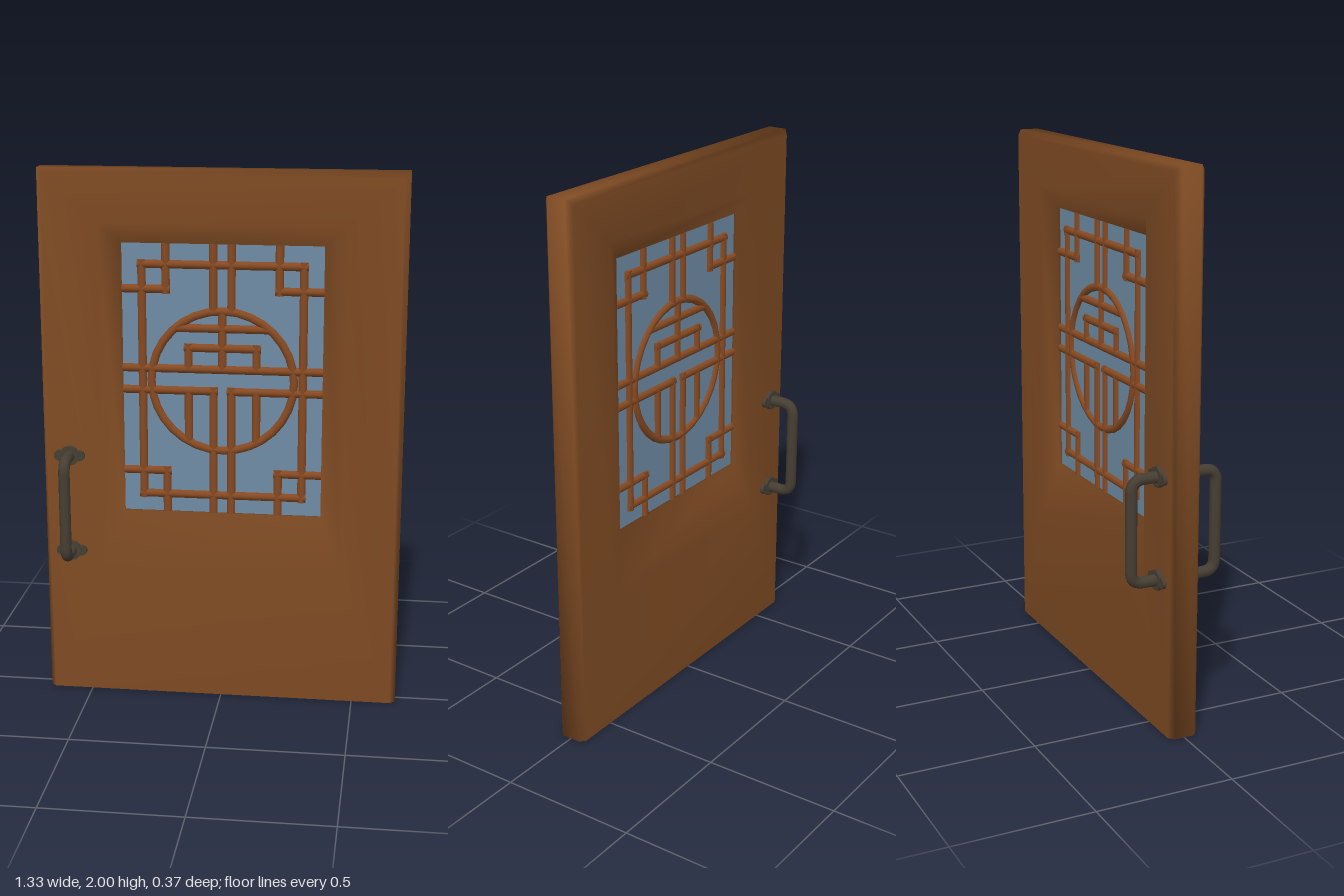
import * as THREE from 'three';

const mat = (name, color) => Object.assign(new THREE.MeshStandardMaterial({ color }), { name });

export function createModel() {
  const wood = mat('door wood', 0x7f4b23);
  const latticeWood = mat('lattice wood', 0x874a22);
  const glassBlue = mat('glass', 0x6f8ca5);
  const iron = mat('dark iron', 0x463e33);

  const door = new THREE.Group();
  door.name = 'door';
  const add = (parent, name, geometry, material, x = 0, y = 0, z = 0) => {
    const mesh = new THREE.Mesh(geometry, material);
    mesh.name = name;
    mesh.position.set(x, y, z);
    parent.add(mesh);
    return mesh;
  };

  // Door slab: rectangular rings from the window edge, over the rim, to the back
  const half = [
    [0.368, 0.72, 1.733, 0.012],
    [0.45, 0.5, 1.81, 0.055],
    [0.645, 0, 1.98, 0.055],
    [0.665, 0, 2, 0.036],
  ];
  const rings = [...half, ...half.slice().reverse().map(([x, b, t, z]) => [x, b, t, -z])];
  const positions = [];
  const index = [];
  rings.forEach(([x, b, t, z], i) => {
    positions.push(-x, b, z, x, b, z, x, t, z, -x, t, z);
    const next = (i + 1) % rings.length;
    for (let k = 0; k < 4; k++) {
      const k2 = (k + 1) % 4;
      const a = i * 4 + k, b2 = i * 4 + k2, c = next * 4 + k, d = next * 4 + k2;
      index.push(c, d, b2, c, b2, a);
    }
  });
  const slab = new THREE.BufferGeometry();
  slab.setAttribute('position', new THREE.Float32BufferAttribute(positions, 3));
  slab.setIndex(index);
  slab.computeVertexNormals();
  add(door, 'doorSlab', slab, wood);

  // Window pane
  add(door, 'windowGlass', new THREE.BoxGeometry(0.736, 1.013, 0.006), glassBlue, 0, 1.2265, 0);

  // Lattice of round bars, visible from both sides
  const lattice = new THREE.Group();
  lattice.name = 'lattice';
  door.add(lattice);
  const r = 0.016;
  const bar = (name, x1, y1, x2, y2) => {
    const length = Math.hypot(x2 - x1, y2 - y1);
    const mesh = add(lattice, name, new THREE.CylinderGeometry(r, r, length, 10), latticeWood,
      (x1 + x2) / 2, (y1 + y2) / 2, 0);
    mesh.rotation.z = Math.atan2(y2 - y1, x2 - x1) - Math.PI / 2;
  };
  const L = 0.295, edge = 0.368, top = 1.733, bottom = 0.72;
  for (const y of [0.788, 1.656]) bar('borderRail', -L - r, y, L + r, y);
  for (const s of [-1, 1]) {
    bar('borderPost', s * L, 0.788 - r, s * L, 1.656 + r);
    // Corner squares
    bar('cornerPost', s * 0.207, top, s * 0.207, 1.565 - r);
    bar('cornerRail', s * edge, 1.565, s * (0.207 - r), 1.565);
    bar('cornerPost', s * 0.207, bottom, s * 0.207, 0.878 + r);
    bar('cornerRail', s * edge, 0.878, s * (0.207 - r), 0.878);
    // Paired centre posts
    bar('upperPost', s * 0.033, top, s * 0.033, 1.48);
    bar('lowerPost', s * 0.033, bottom, s * 0.033, 1.188 + r);
    // Bars inside the ring
    bar('splitRail', s * edge, 1.188, s * (0.033 - r), 1.188);
    bar('bracketPost', s * 0.125, 1.27, s * 0.125, 1.35 + r);
    bar('innerPost', s * 0.125, 1.188, s * 0.125, 0.99);
  }
  bar('crossRail', -edge, 1.27, edge, 1.27);
  bar('bracketRail', -0.141, 1.35, 0.141, 1.35);
  bar('chordRail', -0.175, 1.423, 0.175, 1.423);
  bar('ringPost', 0, 1.27, 0, 1.487);
  add(lattice, 'latticeRing', new THREE.TorusGeometry(0.263, r, 10, 32), latticeWood, 0, 1.225, 0);

  // Pull handles on the front and the back
  const y1 = 0.567, y2 = 0.94, reach = 0.163, bend = 0.045;
  const v = (y, z) => new THREE.Vector3(0, y, z);
  const path = new THREE.CurvePath();
  path.add(new THREE.LineCurve3(v(y1, 0.05), v(y1, reach - bend)));
  path.add(new THREE.QuadraticBezierCurve3(v(y1, reach - bend), v(y1, reach), v(y1 + bend, reach)));
  path.add(new THREE.LineCurve3(v(y1 + bend, reach), v(y2 - bend, reach)));
  path.add(new THREE.QuadraticBezierCurve3(v(y2 - bend, reach), v(y2, reach), v(y2, reach - bend)));
  path.add(new THREE.LineCurve3(v(y2, reach - bend), v(y2, 0.05)));
  const grip = new THREE.TubeGeometry(path, 64, 0.021, 10);
  const disc = (radius, depth) => new THREE.CylinderGeometry(radius, radius, depth, 16).rotateX(Math.PI / 2);
  for (const side of ['front', 'back']) {
    const handle = new THREE.Group();
    handle.name = side + 'Handle';
    handle.position.x = -0.566;
    if (side === 'back') handle.rotation.y = Math.PI;
    door.add(handle);
    add(handle, 'grip', grip, iron);
    for (const y of [y1, y2]) {
      add(handle, 'rosette', disc(0.037, 0.022), iron, 0, y, 0.06);
      for (const s of [-1, 1]) add(handle, 'rosetteLobe', disc(0.02, 0.02), iron, s * 0.038, y, 0.059);
    }
  }
  return door;
}
